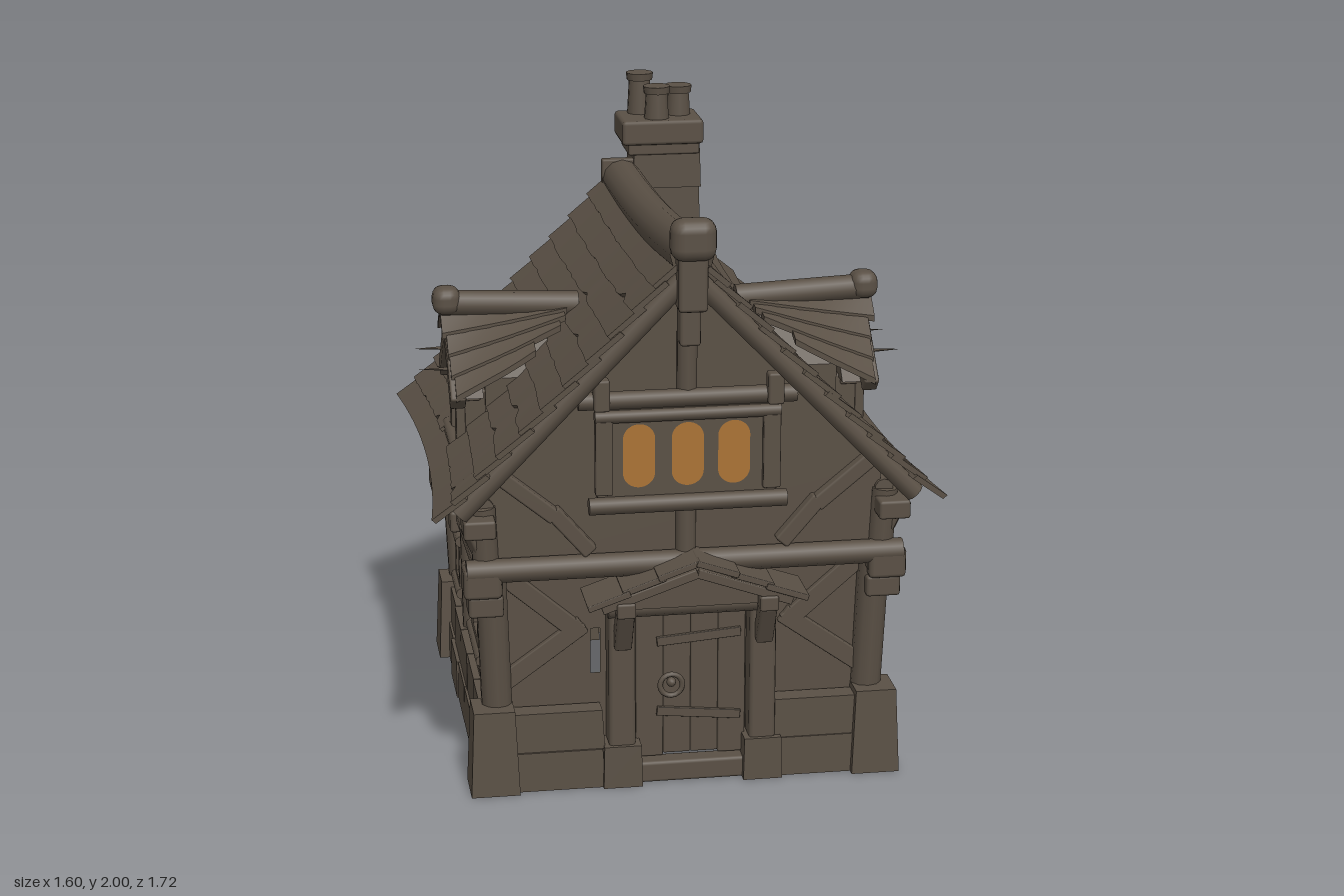
import * as THREE from 'three';
import { RoundedBoxGeometry } from 'three/addons/geometries/RoundedBoxGeometry.js';

const brown = new THREE.MeshStandardMaterial({ color: 0x5a5045, side: THREE.DoubleSide });
brown.name = 'weathered brown';
const amber = new THREE.MeshStandardMaterial({ color: 0xaa7335 });
amber.name = 'amber glass';

let seed = 7;
const rnd = (a = 1) => { seed = (seed * 16807) % 2147483647; return (seed / 2147483647 - 0.5) * 2 * a; };
const V = (x, y, z) => new THREE.Vector3(x, y, z);
const lerp = THREE.MathUtils.lerp;

function add(parent, name, geo, x = 0, y = 0, z = 0, mat = brown) {
  const m = new THREE.Mesh(geo, mat);
  m.name = name;
  m.position.set(x, y, z);
  parent.add(m);
  return m;
}
const box = (p, name, x, y, z, w, h, d) =>
  add(p, name, new RoundedBoxGeometry(w, h, d, 1, Math.min(w, h, d) * 0.15), x, y, z);

// Round timber between two points
function log(p, name, a, b, r) {
  const m = add(p, name, new THREE.CylinderGeometry(r, r, a.distanceTo(b), 10), ...a.clone().add(b).multiplyScalar(0.5));
  m.quaternion.setFromUnitVectors(V(0, 1, 0), b.clone().sub(a).normalize());
}
// Square timber between two points
function beam(p, name, a, b, w, h = w) {
  const m = box(p, name, ...a.clone().add(b).multiplyScalar(0.5), w, h, a.distanceTo(b));
  m.lookAt(b);
}
// Move the vertices of a box by a rule
function mapBox(p, name, sx, sz, rule) {
  const g = new THREE.BoxGeometry(1, 1, 1, sx, 1, sz), a = g.attributes.position;
  for (let i = 0; i < a.count; i++) a.setXYZ(i, ...rule(a.getX(i), a.getY(i), a.getZ(i)));
  g.computeVertexNormals();
  add(p, name, g);
}
// Tapered stone, wider at the foot
function stone(p, name, x, y, z, w, h, d, taper = 0.95) {
  const g = new THREE.BoxGeometry(w, h, d), a = g.attributes.position;
  for (let i = 0; i < a.count; i++)
    if (a.getY(i) > 0) { a.setX(i, a.getX(i) * taper); a.setZ(i, a.getZ(i) * taper); }
  g.computeVertexNormals();
  return add(p, name, g, x, y, z);
}
const outline = points => new THREE.Shape(points.map(q => new THREE.Vector2(...q)));
const solid = (points, depth) => new THREE.ExtrudeGeometry(outline(points), { depth, bevelEnabled: false });

// Framed window facing +z before it is turned, glazed inside and out
function windowUnit(p, name, x, y, z, turn, w, h, fw, fh) {
  const g = new THREE.Group();
  g.name = name;
  g.position.set(x, y, z);
  g.rotation.y = turn;
  p.add(g);
  for (const dz of [0.01, -0.03]) add(g, 'pane', new THREE.BoxGeometry(w, h, 0.008), 0, 0, dz, amber);
  const tx = (fw - w) / 2, ty = (fh - h) / 2;
  for (const s of [-1, 1]) {
    box(g, 'windowJamb', s * (w + tx) / 2, 0, 0.01, tx, fh, 0.04);
    box(g, 'windowRail', 0, s * (h + ty) / 2, 0.01, fw, ty, 0.04);
    log(g, 'windowTrim', V(-fw / 2 - 0.015, s * (fh / 2 - 0.01), 0.025), V(fw / 2 + 0.015, s * (fh / 2 - 0.01), 0.025), 0.02);
  }
}

// Sagging roof surface: u runs from ridge to eave
function roofPoint(s, u, z, lift = 0) {
  const t = (z - 0.07) / 0.75;
  const ridgeY = 1.675 + 0.045 * z + 0.03 * t * t, eaveY = 0.92 + 0.037 * z;
  return V(s * (u * (0.72 + 0.04 * t * t) + lift * 0.73),
    lerp(ridgeY, eaveY, u) - 0.015 * Math.sin(Math.PI * u) + lift * 0.68, z);
}
function buildRoof(p) {
  const n = 11, seg = 26;
  for (const s of [-1, 1]) for (let k = 0; k < n; k++) {
    const chips = Array.from({ length: seg + 1 }, () => rnd(0.04) - (rnd() > 0.92 ? 0.2 : 0));
    const front = 0.79 + 0.03 * k / n + rnd(0.008), back = -0.71 + 0.03 * k / n + rnd(0.008);
    // Two courses are interrupted by the dormer window
    const spans = k === 8 || k === 9 ? [[back, -0.01], [0.21, front]] : [[back, front]];
    for (const [z0, z1] of spans) mapBox(p, 'roofCourse', 1, seg, (x, y, z) => {
      const v = 0.5 + s * x, j = Math.round((z + 0.5) * seg);
      const u = Math.min((k + v * (1.35 + chips[j])) / n, 1.02);
      return roofPoint(s, u, lerp(z0, z1, j / seg), v * 0.018 + (y > 0 ? 0.018 : 0));
    });
  }
  // Sagging ridge log with a knob over the front gable
  const pts = [[0.8, 1.757], [0.4, 1.71], [0, 1.675], [-0.35, 1.657], [-0.71, 1.65]].map(([z, y]) => V(0, y, z));
  add(p, 'ridgeLog', new THREE.TubeGeometry(new THREE.CatmullRomCurve3(pts), 20, 0.068, 12));
  add(p, 'ridgeKnob', new RoundedBoxGeometry(0.14, 0.13, 0.1, 2, 0.04), 0, 1.805, 0.81);
  box(p, 'ridgeEnd', 0, 1.65, -0.7, 0.14, 0.14, 0.04);
  box(p, 'ridgePendant', 0, 1.67, 0.79, 0.09, 0.18, 0.08);
  // Barge timbers under both gable edges
  for (const s of [-1, 1]) for (const z of [0.76, -0.66])
    log(p, 'bargeTimber', roofPoint(s, 0.03, z, -0.03), roofPoint(s, 0.97, z, -0.025), 0.032);
}

function buildDormer(p, s) {
  const cz = 0.1, n = 4, turn = s * Math.PI / 2;
  const wall = solid([[-0.12, 0.95], [0.12, 0.95], [0.12, 1.22], [0, 1.36], [-0.12, 1.22]], 0.3).rotateY(turn);
  add(p, 'dormerWall', wall, s * 0.275, 0, cz);
  const gable = solid([[-0.17, 1.17], [0.17, 1.17], [0, 1.36]], 0.07).rotateY(turn);
  add(p, 'dormerGable', gable, s * 0.585, 0, cz);
  // Recessed pane behind posts, head and sill
  add(p, 'dormerPane', new THREE.BoxGeometry(0.008, 0.15, 0.13), s * 0.583, 1.08, cz, amber);
  for (const t of [-1, 1]) {
    box(p, 'dormerCheek', s * 0.615, 1.075, cz + t * 0.09, 0.09, 0.21, 0.045);
    box(p, 'dormerPost', s * 0.655, 1.075, cz + t * 0.092, 0.03, 0.21, 0.05);
  }
  box(p, 'dormerHead', s * 0.63, 1.165, cz, 0.08, 0.035, 0.24);
  log(p, 'dormerSill', V(s * 0.672, 0.988, cz - 0.17), V(s * 0.672, 0.988, cz + 0.17), 0.02);
  log(p, 'dormerRidge', V(s * 0.26, 1.425, cz), V(s * 0.7, 1.445, cz), 0.042);
  add(p, 'dormerKnob', new RoundedBoxGeometry(0.09, 0.09, 0.1, 2, 0.035), s * 0.685, 1.455, cz);
  for (const t of [-1, 1]) {
    // Courses flatten towards the main roof
    for (let k = 0; k < n; k++) {
      const x1 = 0.705 - 0.01 * k + rnd(0.008), x0 = [0.3, 0.31, 0.33, 0.42][k];
      mapBox(p, 'dormerShingles', 5, 1, (px, py, pz) => {
        const v = 0.5 + t * pz, a = (k + v * 1.25) / n / 1.06;
        const x = lerp(x0, x1, 0.5 + s * px), q = (x - 0.3) / 0.4;
        return [s * x, 1.405 - a * lerp(0.04, 0.25, q) + v * 0.012 + (py > 0 ? 0.02 : 0),
          cz + t * a * lerp(0.17, 0.23, Math.min(1, q * 2))];
      });
    }
    beam(p, 'dormerRafter', V(s * 0.67, 1.365, cz), V(s * 0.67, 1.165, cz + t * 0.21), 0.05, 0.06);
    const spike = add(p, 'dormerSpike', new THREE.ConeGeometry(0.008, 0.12, 5), s * 0.73, 1.26, cz + t * 0.12);
    spike.rotation.z = -turn;
  }
}

function buildWalls(p) {
  // Gable walls; the front one is open at the door and beside its post
  const front = outline([[-0.59, 0.02], [0.59, 0.02], [0.6, 0.76], [-0.6, 0.76]]);
  for (const [x0, x1, y0, y1] of [[-0.15, 0.19, 0.04, 0.57], [-0.295, -0.265, 0.36, 0.51]])
    front.holes.push(outline([[x0, y0], [x0, y1], [x1, y1], [x1, y0]]));
  add(p, 'frontWall', new THREE.ShapeGeometry(front), 0, 0, 0.64);
  add(p, 'backWall', new THREE.PlaneGeometry(1.18, 0.62), 0, 0.33, -0.54);
  for (const [name, y, z] of [['upperFrontWall', 0.74, 0.685], ['upperBackWall', 0.62, -0.58]])
    add(p, name, new THREE.ShapeGeometry(outline([[-0.62, y], [0.62, y], [0.62, 1.03], [0, 1.66], [-0.62, 1.03]])), 0, 0, z);
  for (const s of [-1, 1]) {
    add(p, 'sideWall', new THREE.PlaneGeometry(1.22, 0.66).rotateY(turnOf(s)), s * 0.582, 0.35, 0.05);
    add(p, 'upperSideWall', new THREE.PlaneGeometry(1.27, 0.4).rotateY(turnOf(s)), s * 0.6, 0.84, 0.05);
    // Stone footing
    for (let r = 0; r < 2; r++) {
      const y = 0.065 + r * 0.13;
      for (let i = 0; i < 5; i++)
        stone(p, 'footingStone', s * (0.622 - r * 0.012 + rnd(0.004)), y, -0.4 + i * 0.22 + r * 0.03, 0.075, 0.13, 0.222, 0.97);
      stone(p, 'footingStone', s * 0.42, y, 0.69 - r * 0.01 + rnd(0.004), 0.32, 0.13, 0.07);
    }
    stone(p, 'backFooting', s * 0.36, 0.13, -0.55, 0.5, 0.26, 0.06);
    for (const z of [0.67, -0.515]) stone(p, 'cornerStone', s * 0.612, 0.14, z, 0.155, 0.28, 0.155, 0.84);

    // Corner posts, capitals and roof brackets
    for (const z of [0.64, -0.535]) {
      const y = 0.70 + 0.066 * (z - 0.64), f = Math.sign(z);
      log(p, 'cornerPost', V(s * 0.595, 0.26, z), V(s * 0.61, y, z + f * 0.02), 0.05);
      box(p, 'postCapital', s * 0.63, y - 0.07, z + f * 0.03, 0.11, 0.07, 0.11);
      box(p, 'postCapital', s * 0.64, y + 0.01, z + f * 0.04, 0.12, 0.1, 0.12);
      log(p, 'upperPost', V(s * 0.625, y + 0.04, z + f * 0.03), V(s * 0.635, y + 0.25, z + f * 0.04), 0.042);
      box(p, 'eaveBracket', s * 0.65, y + 0.2, z + f * 0.07, 0.1, 0.06, 0.13);
      beam(p, 'eaveStrut', V(s * 0.64, y + 0.1, z + f * 0.03), V(s * 0.68, y + 0.2, z + f * 0.05), 0.05);
    }
    // Side framing
    log(p, 'sideBeam', V(s * 0.615, 0.705, 0.72), V(s * 0.615, 0.615, -0.62), 0.04);
    log(p, 'sideSill', V(s * 0.6, 0.27, 0.62), V(s * 0.6, 0.245, -0.53), 0.025);
    log(p, 'eaveBeam', V(s * 0.63, 0.95, 0.7), V(s * 0.63, 0.9, -0.62), 0.03);
    log(p, 'midPost', V(s * 0.595, 0.22, -0.08), V(s * 0.6, 0.66, -0.09), 0.042);
    box(p, 'midPostBlock', s * 0.63, 0.64, -0.09, 0.09, 0.075, 0.08);
    for (const z of [0.3, -0.13]) {
      log(p, 'upperStud', V(s * 0.605, 0.66, z), V(s * 0.615, 0.93, z), 0.028);
      box(p, 'studBracket', s * 0.645, 0.87, z, 0.07, 0.08, 0.055);
    }
    const braces = [[0.38, 0.58, 0.6, 0.38, 0.585], [0.74, 0.5, 0.92, 0.64, 0.6], [0.66, -0.14, 0.86, -0.35, 0.6], [0.62, -0.16, 0.42, -0.27, 0.585]];
    for (const [y0, z0, y1, z1, x] of braces)
      beam(p, 'sideBrace', V(s * x, y0, z0), V(s * x, y1, z1), 0.05, 0.05);
    windowUnit(p, 'largeSideWindow', s * 0.592, 0.465, 0.215, turnOf(s), 0.13, 0.21, 0.31, 0.32);
    windowUnit(p, 'smallSideWindow', s * 0.597, 0.395, -0.372, turnOf(s), 0.08, 0.115, 0.17, 0.21);

    // Front and back framing
    beam(p, 'gableBrace', V(s * 0.3, 0.79, 0.69), V(s * 0.42, 0.93, 0.69), 0.06, 0.05);
    beam(p, 'gableBrace', V(s * 0.41, 0.91, 0.69), V(s * 0.58, 1.05, 0.69), 0.06, 0.05);
    beam(p, 'lowerBrace', V(s * 0.57, 0.35, 0.645), V(s * 0.32, 0.53, 0.645), 0.03, 0.06);
    beam(p, 'lowerBrace', V(s * 0.33, 0.5, 0.645), V(s * 0.56, 0.7, 0.645), 0.03, 0.06);
    beam(p, 'backBrace', V(s * 0.56, 0.66, -0.585), V(s * 0.42, 0.9, -0.585), 0.05, 0.03);
  }
  log(p, 'frontBeam', V(-0.69, 0.745, 0.705), V(0.69, 0.745, 0.705), 0.038);
  log(p, 'backBeam', V(-0.67, 0.63, -0.58), V(0.67, 0.63, -0.58), 0.04);
  log(p, 'backSill', V(-0.6, 0.26, -0.545), V(0.6, 0.26, -0.545), 0.025);
  windowUnit(p, 'backWindow', -0.335, 0.44, -0.555, Math.PI, 0.14, 0.16, 0.25, 0.27);
}
const turnOf = s => s * Math.PI / 2;

function buildGableWindow(p) {
  box(p, 'windowBay', 0, 1.115, 0.7, 0.56, 0.31, 0.05);
  for (const x of [-0.152, 0, 0.145]) {
    const pane = new THREE.Shape().absellipse(0, 0.055, 0.05, 0.047, 0, Math.PI).absellipse(0, -0.055, 0.05, 0.047, Math.PI, Math.PI * 2);
    add(p, 'gablePane', new THREE.ShapeGeometry(pane), x, 1.105, 0.728, amber);
  }
  for (const s of [-1, 1]) {
    box(p, 'bayPost', s * 0.262, 1.11, 0.73, 0.055, 0.25, 0.03);
    box(p, 'collarPeg', s * 0.27, 1.31, 0.74, 0.05, 0.1, 0.05);
  }
  log(p, 'baySill', V(-0.31, 0.95, 0.735), V(0.31, 0.95, 0.735), 0.027);
  log(p, 'bayHead', V(-0.29, 1.235, 0.73), V(0.29, 1.235, 0.73), 0.02);
  log(p, 'collarBeam', V(-0.34, 1.285, 0.72), V(0.34, 1.285, 0.72), 0.028);
  log(p, 'kingPost', V(0, 1.29, 0.7), V(0, 1.66, 0.71), 0.032);
  box(p, 'kingPostBlock', 0, 1.52, 0.74, 0.065, 0.12, 0.07);
  log(p, 'lowerKingPost', V(0, 0.75, 0.69), V(0, 0.95, 0.69), 0.032);
}

function buildDoor(p) {
  for (let i = 0; i < 4; i++)
    box(p, 'doorPlank', -0.112 + i * 0.088, 0.325 + (i === 1 || i === 2 ? 0.008 : 0), 0.66, 0.088, 0.5, 0.035);
  for (const y of [0.22, 0.48]) box(p, 'doorStrap', 0.045, y, 0.681, 0.27, 0.03, 0.014).rotation.z = y < 0.3 ? -0.1 : 0.08;
  add(p, 'doorRing', new THREE.TorusGeometry(0.036, 0.009, 6, 16), -0.045, 0.325, 0.695);
  add(p, 'doorKnob', new THREE.SphereGeometry(0.016, 8, 6), -0.045, 0.335, 0.695);
  box(p, 'doorStep', 0.02, 0.035, 0.68, 0.36, 0.07, 0.07);
  log(p, 'doorLintel', V(-0.25, 0.605, 0.71), V(0.29, 0.605, 0.71), 0.035);
  for (const s of [-1, 1]) {
    const x = 0.02 + s * 0.225;
    stone(p, 'doorFoot', x, 0.07, 0.685, 0.125, 0.14, 0.11);
    box(p, 'doorPost', x, 0.37, 0.68, 0.085, 0.48, 0.09);
    beam(p, 'canopyStrut', V(x, 0.48, 0.72), V(x, 0.62, 0.79), 0.055);
    box(p, 'canopyBeam', x, 0.63, 0.75, 0.06, 0.05, 0.15);
    // Canopy slopes
    for (let k = 0; k < 3; k++) {
      const m = box(p, 'canopyShingles', 0.02 + s * (0.06 + k * 0.11), 0.757 - k * 0.044, 0.745, 0.14, 0.02, 0.17 + rnd(0.01));
      m.rotation.z = -s * 0.33;
    }
    beam(p, 'canopyRafter', V(0.02, 0.74, 0.805), V(0.02 + s * 0.3, 0.635, 0.805), 0.025, 0.03);
  }
  add(p, 'canopyFront', solid([[-0.27, 0.62], [0.31, 0.62], [0.02, 0.74]], 0.05), 0, 0, 0.73);
}

function buildChimney(p) {
  // Leaning breast with a slight waist
  mapBox(p, 'chimneyBreast', 1, 1, (x, y, z) =>
    [0.135 + x * (y < 0 ? 0.42 : 0.39), (y + 0.5) * 0.9, z < 0 ? -0.70 - 0.1 * (y + 0.5) : -0.53]);
  stone(p, 'chimneyShoulder', 0.135, 1.055, -0.7, 0.41, 0.38, 0.24, 0.97).rotation.x = -0.08;
  for (let k = 0; k < 4; k++)
    stone(p, 'chimneyStack', 0.155 + rnd(0.004), 1.28 + k * 0.135, -0.755 + rnd(0.003), 0.25 - k * 0.004, 0.137, 0.165, 0.97);
  box(p, 'chimneyCap', 0.14, 1.815, -0.755, 0.285, 0.085, 0.215);
  box(p, 'chimneyCapBase', 0.145, 1.76, -0.755, 0.25, 0.05, 0.18);
  for (const [x, z, top] of [[0.08, -0.81, 2.0], [0.21, -0.77, 1.96], [0.125, -0.71, 1.97]]) {
    const h = top - 1.85;
    add(p, 'chimneyPot', new THREE.CylinderGeometry(0.036, 0.044, h, 10), x, 1.85 + h / 2, z);
    add(p, 'chimneyPotRim', new THREE.CylinderGeometry(0.048, 0.045, 0.025, 10), x, top - 0.0125, z);
  }
}

export function createModel() {
  const house = new THREE.Group();
  house.name = 'cottage';
  const part = (name, build) => {
    const g = new THREE.Group();
    g.name = name;
    build(g);
    house.add(g);
  };
  part('walls', buildWalls);
  part('roof', buildRoof);
  part('leftDormer', g => buildDormer(g, 1));
  part('rightDormer', g => buildDormer(g, -1));
  part('gableWindow', buildGableWindow);
  part('door', buildDoor);
  part('chimney', buildChimney);
  return house;
}
